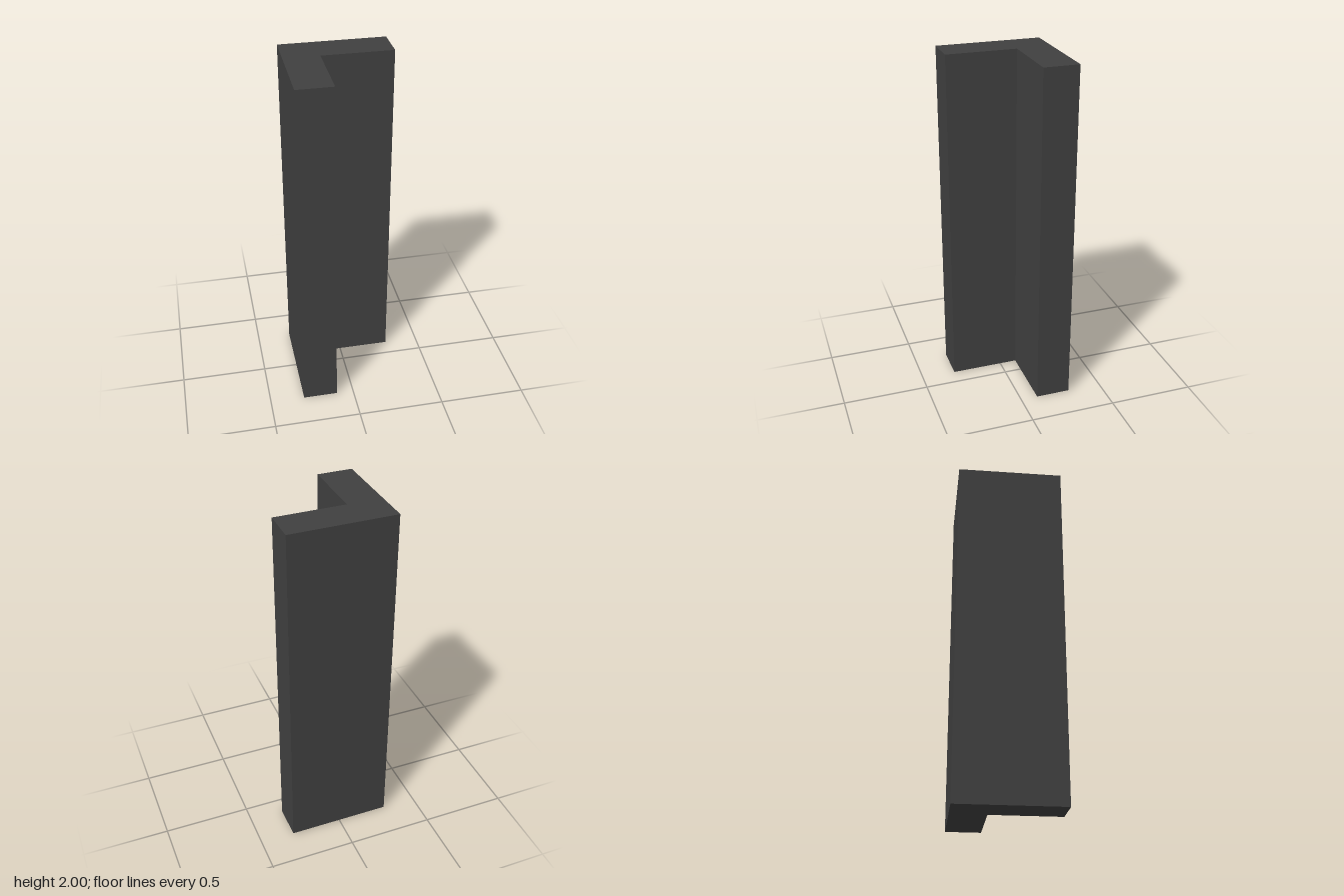
import * as THREE from 'three';

const HEIGHT = 2;
const HALF = 0.3; // half the width of each leg
const THICK = 0.2; // wall thickness

export function createModel() {
  const group = new THREE.Group();
  group.name = 'cornerPost';

  // L-shaped footprint, with the outer corner at back right (shape y becomes -z)
  const inner = HALF - THICK;
  const footprint = new THREE.Shape([
    new THREE.Vector2(-HALF, -HALF),
    new THREE.Vector2(-inner, -HALF),
    new THREE.Vector2(-inner, inner),
    new THREE.Vector2(HALF, inner),
    new THREE.Vector2(HALF, HALF),
    new THREE.Vector2(-HALF, HALF),
  ]);

  // Extrude the footprint upwards from the ground
  const geometry = new THREE.ExtrudeGeometry(footprint, { depth: HEIGHT, bevelEnabled: false });
  geometry.rotateX(-Math.PI / 2);

  const post = new THREE.Mesh(geometry, new THREE.MeshStandardMaterial({ color: 0x404040 }));
  post.name = 'angledPost';
  group.add(post);
  return group;
}
